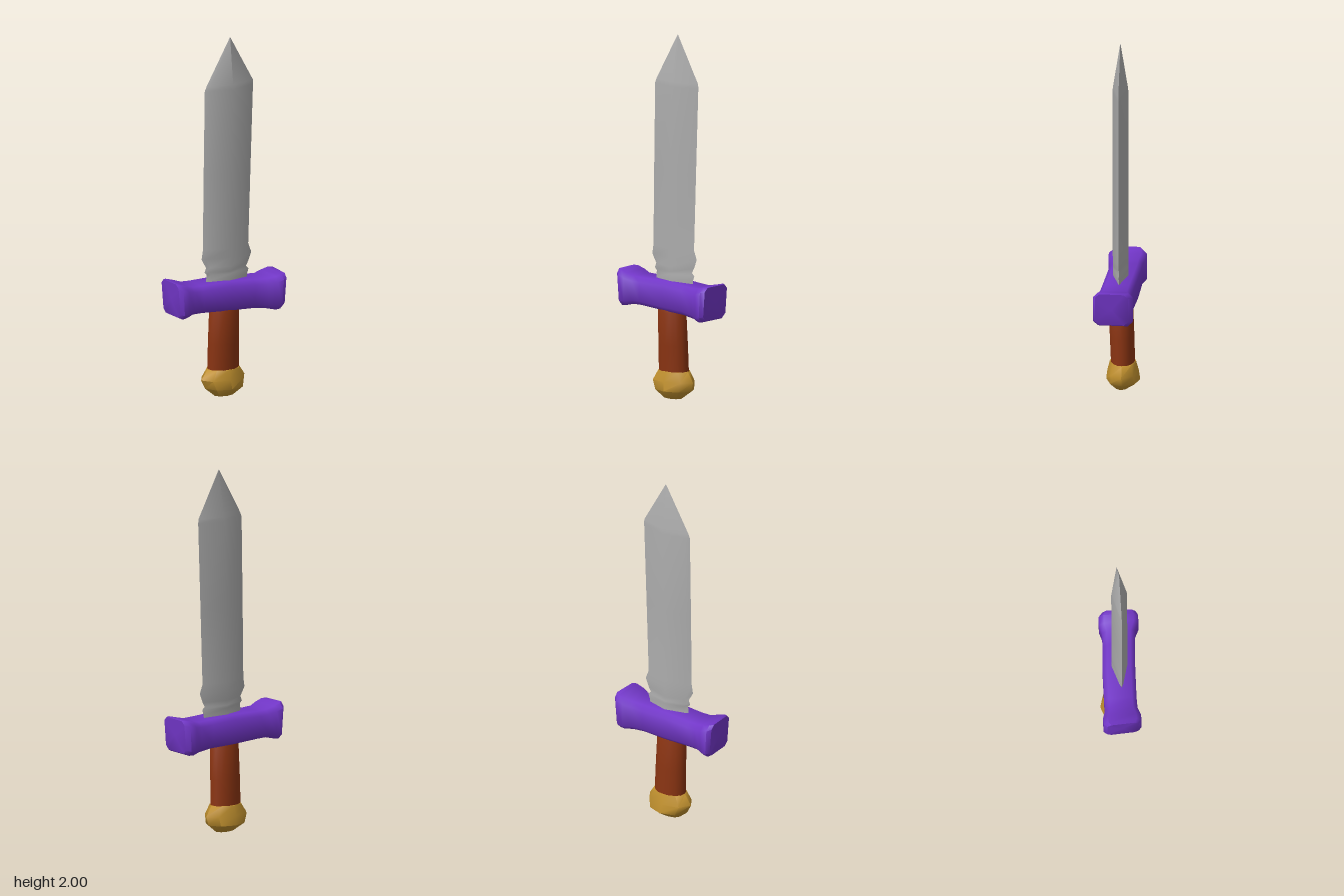
import * as THREE from 'three';
import { toCreasedNormals } from 'three/addons/utils/BufferGeometryUtils.js';

const material = (name, color) => {
  const m = new THREE.MeshStandardMaterial({ color });
  m.name = name;
  return m;
};

// Closed skin over rings of [x, y, z], each counterclockwise about the loft direction
function loft(rings, crease) {
  const n = rings[0].length, last = rings.length - 1;
  const pos = rings.flat(2), index = [];
  for (let i = 0; i < last; i++) {
    for (let j = 0; j < n; j++) {
      const k = (j + 1) % n;
      const a = i * n + j, b = i * n + k, c = a + n, d = b + n;
      index.push(a, b, d, a, d, c);
    }
  }
  [0, last].forEach((r, end) => {
    const centre = pos.length / 3;
    for (let axis = 0; axis < 3; axis++) {
      pos.push(rings[r].reduce((s, p) => s + p[axis], 0) / n);
    }
    for (let j = 0; j < n; j++) {
      const a = r * n + j, b = r * n + (j + 1) % n;
      index.push(centre, ...(end ? [a, b] : [b, a]));
    }
  });
  const g = new THREE.BufferGeometry();
  g.setAttribute('position', new THREE.Float32BufferAttribute(pos, 3));
  g.setIndex(index);
  return toCreasedNormals(g, crease);
}

// Horizontal oval ring from its extents
function oval([y, x0, x1, z0, z1], sides) {
  return Array.from({ length: sides }, (_, i) => {
    const a = (i / sides) * Math.PI * 2;
    return [(x0 + x1) / 2 + Math.sin(a) * (x1 - x0) / 2, y,
      (z0 + z1) / 2 + Math.cos(a) * (z1 - z0) / 2];
  });
}

// Diamond blade section with a narrow bevel along the left-hand edge
function bladeRing([y, x0, x1, ridge, half]) {
  const z = -0.007, bevel = x0 + (x1 - x0) * 0.08;
  return [
    [ridge, y, z + half], [x1, y, z], [ridge, y, z - half],
    [bevel, y, z - half * 0.24], [x0, y, z], [bevel, y, z + half * 0.24],
  ];
}

// Chamfered rectangular guard section; lean tilts the end in x
function guardRing([x, y0, y1, z0, z1, c, lean = 0, skew = 0]) {
  const corners = [
    [y1, z0 + c], [y1, z1 - c], [y1 - c, z1], [y0 + c, z1],
    [y0, z1 - c], [y0, z0 + c], [y0 + c, z0], [y1 - c, z0],
  ];
  return corners.map(([y, z]) => [
    x + lean * (y - (y0 + y1) / 2) + skew * (z - (z0 + z1) / 2), y, z]);
}

export function createModel() {
  const group = new THREE.Group();
  const add = (name, geometry, mat) => {
    const mesh = new THREE.Mesh(geometry, mat);
    mesh.name = name;
    group.add(mesh);
  };
  const steel = material('steel', 0xacacac);
  const purple = material('purple', 0x7236c8);
  const brown = material('brown', 0x8a3412);
  const gold = material('gold', 0xc0902e);

  // Blade: y, left edge, right edge, ridge x, half thickness
  add('blade', loft([
    [0.60, -0.11, 0.14, 0.015, 0.042],
    [0.66, -0.112, 0.145, 0.015, 0.043],
    [0.69, -0.108, 0.155, 0.015, 0.043],
    [0.705, -0.122, 0.138, 0.015, 0.043],
    [0.73, -0.112, 0.152, 0.015, 0.043],
    [0.78, -0.14, 0.172, 0.016, 0.043],
    [0.83, -0.132, 0.153, 0.017, 0.043],
    [1.25, -0.127, 0.167, 0.024, 0.043],
    [1.72, -0.12, 0.183, 0.033, 0.043],
    [1.745, -0.11, 0.182, 0.034, 0.041],
    [2.0, 0.037, 0.041, 0.039, 0.001],
  ].map(bladeRing), 0.75), steel);

  // Guard: x, bottom, top, back z, front z, chamfer, lean, skew
  add('guard', loft([
    [-0.324, 0.492, 0.682, -0.105, 0.065, 0.022, -0.08, 0.03],
    [-0.305, 0.484, 0.678, -0.124, 0.082, 0.026, -0.06, 0.03],
    [-0.27, 0.488, 0.666, -0.122, 0.082, 0.026],
    [-0.225, 0.499, 0.652, -0.108, 0.068, 0.024],
    [-0.17, 0.499, 0.65, -0.107, 0.068, 0.024],
    [0, 0.49, 0.654, -0.099, 0.077, 0.024],
    [0.14, 0.486, 0.645, -0.086, 0.089, 0.024],
    [0.22, 0.475, 0.641, -0.081, 0.097, 0.024],
    [0.265, 0.466, 0.65, -0.093, 0.119, 0.026],
    [0.30, 0.468, 0.66, -0.093, 0.121, 0.026, 0.06, -0.03],
    [0.322, 0.479, 0.661, -0.07, 0.108, 0.022, 0.08, -0.04],
  ].map(guardRing), 0.95), purple);

  // Grip: y, x range, z range
  add('grip', loft([
    [0.13, -0.09, 0.094, -0.084, 0.046],
    [0.30, -0.088, 0.09, -0.08, 0.053],
    [0.48, -0.085, 0.085, -0.073, 0.062],
    [0.52, -0.07, 0.07, -0.06, 0.05],
  ].map((s) => oval(s, 16)), 0.8), brown);

  // Pommel: faceted knob
  add('pommel', loft([
    [0.004, -0.055, 0.06, -0.045, 0.025],
    [0.05, -0.11, 0.122, -0.112, 0.072],
    [0.10, -0.136, 0.136, -0.104, 0.066],
    [0.155, -0.096, 0.1, -0.089, 0.052],
    [0.16, -0.07, 0.07, -0.07, 0.035],
  ].map((s) => oval(s, 8)), 0.9), gold);

  // Centre the footprint and stand it on the ground at a height of 2
  const box = new THREE.Box3().setFromObject(group);
  const c = box.getCenter(new THREE.Vector3());
  group.children.forEach((m) => m.geometry.translate(-c.x, -box.min.y, -c.z));
  return group;
}
